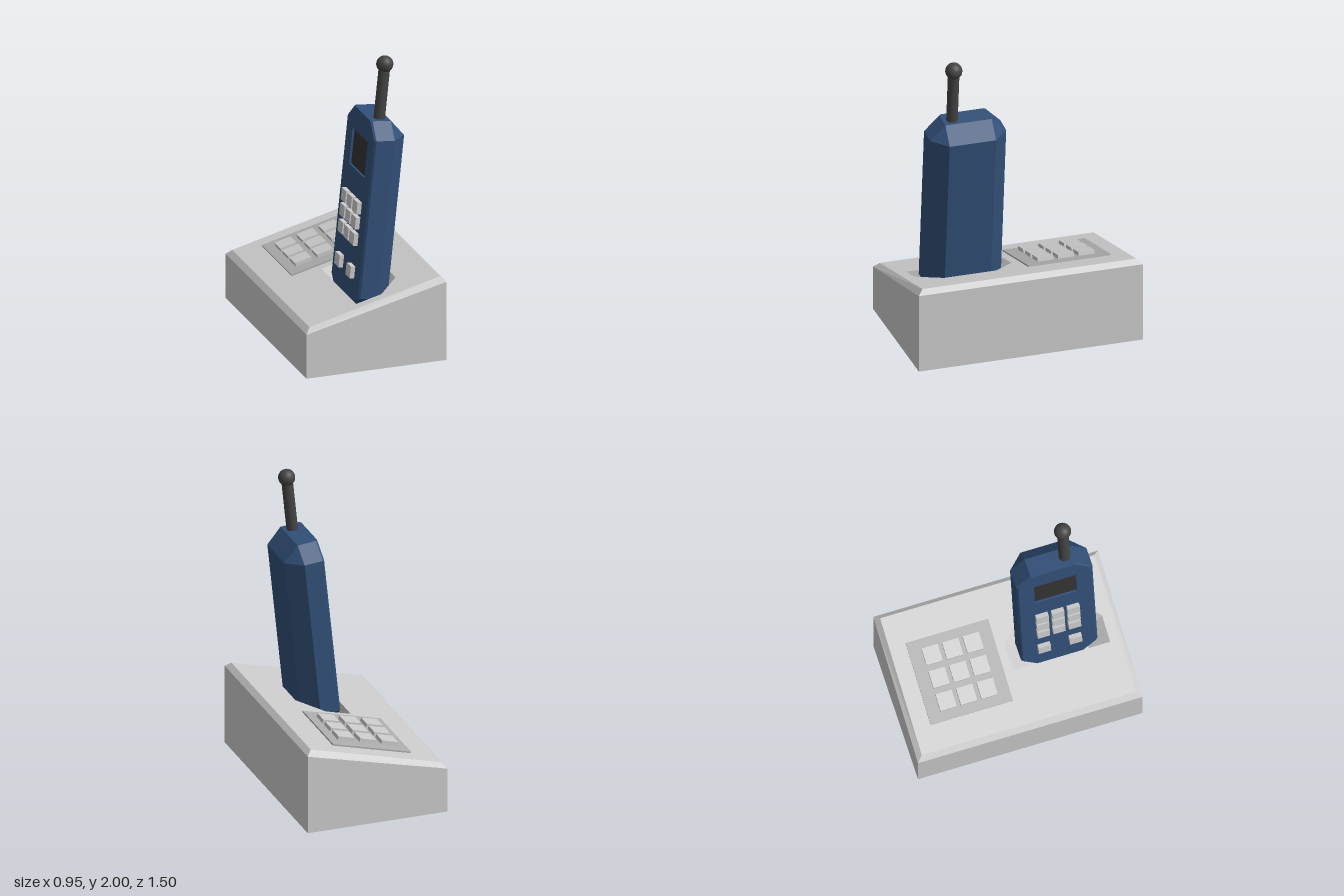
import * as THREE from 'three';

const mat = (color) => new THREE.MeshStandardMaterial({ color, flatShading: true });
const GREY = mat(0xcccccc), PANEL = mat(0xadadad), BLUE = mat(0x325078), SCREEN = mat(0x333333);
const DARK = new THREE.MeshStandardMaterial({ color: 0x444444 });

function add(parent, name, geometry, material, x = 0, y = 0, z = 0) {
  const mesh = new THREE.Mesh(geometry, material);
  mesh.name = name;
  mesh.position.set(x, y, z);
  parent.add(mesh);
  return mesh;
}

// Skin through rings of [x, y, z] points, with optional end caps
function loft(rings, { closed = true, capStart = false, capEnd = false } = {}) {
  const out = [];
  const n = rings[0].length;
  const tri = (a, b, c) => out.push(...a, ...b, ...c);
  for (let i = 0; i < rings.length - 1; i++) {
    for (let j = 0; j < (closed ? n : n - 1); j++) {
      const k = (j + 1) % n;
      tri(rings[i][j], rings[i][k], rings[i + 1][k]);
      tri(rings[i][j], rings[i + 1][k], rings[i + 1][j]);
    }
  }
  const last = rings[rings.length - 1];
  for (let j = 1; j < n - 1; j++) {
    if (capStart) tri(rings[0][0], rings[0][j + 1], rings[0][j]);
    if (capEnd) tri(last[0], last[j], last[j + 1]);
  }
  const g = new THREE.BufferGeometry();
  g.setAttribute('position', new THREE.Float32BufferAttribute(out, 3));
  g.computeVertexNormals();
  return g;
}

const shapeOf = (pts) => new THREE.Shape(pts.map(([x, y]) => new THREE.Vector2(x, y)));
const SLOPE = 0.26;
const topY = (x) => 0.335 + SLOPE * (x + 0.445);

function makeBase() {
  const base = new THREE.Group();
  base.name = 'chargerBase';
  const ring = (x, z, yOf) => [[-x, z], [x, z], [x, -z], [-x, -z]].map(([a, b]) => [a, yOf(a), b]);
  const sides = [
    ring(0.475, 0.75, () => 0),
    ring(0.475, 0.75, (x) => 0.4175 + 0.2475 * x),
    ring(0.442, 0.715, topY),
  ];
  add(base, 'baseSides', loft(sides, { capStart: true }), GREY);

  // Sloping top with a hole for the handset
  const slot = [[-0.1, 0.65], [0.07, 0.65], [0.22, 0.5], [0.22, 0.15], [0.07, 0], [-0.1, 0]];
  const floor = [[-0.105, 0.52], [0.06, 0.52], [0.13, 0.45], [0.13, 0.2], [0.06, 0.13], [-0.105, 0.13]];
  const top = shapeOf(sides[2].map(([x, , z]) => [x, -z]));
  top.holes.push(shapeOf(slot.map(([x, z]) => [x, -z])));
  const topGeo = new THREE.ShapeGeometry(top).rotateX(-Math.PI / 2);
  const p = topGeo.attributes.position;
  for (let i = 0; i < p.count; i++) p.setY(i, topY(p.getX(i)));
  topGeo.computeVertexNormals();
  add(base, 'baseTop', topGeo, GREY);

  // Tapered cradle
  const cradle = [slot.map(([x, z]) => [x, topY(x), z]), floor.map(([x, z]) => [x, topY(x) - 0.12, z])];
  add(base, 'cradle', loft(cradle, { capEnd: true }), GREY);

  // Keypad lying on the slope
  const keypad = new THREE.Group();
  keypad.name = 'baseKeypad';
  keypad.position.set(-0.015, topY(-0.015), -0.33);
  keypad.rotation.z = Math.atan(SLOPE);
  add(keypad, 'keypadPanel', new THREE.BoxGeometry(0.547, 0.02, 0.55), PANEL);
  const key = new THREE.BoxGeometry(0.112, 0.03, 0.108);
  for (const i of [-1, 0, 1]) for (const j of [-1, 0, 1]) {
    add(keypad, 'baseKey', key, GREY, i * 0.153, 0.02, j * 0.137);
  }
  base.add(keypad);
  return base;
}

// Handset: local origin at the top of its face, which looks towards -x
function makeHandset() {
  const phone = new THREE.Group();
  phone.name = 'handset';
  const W = 0.255, C = 0.1, D = 0.237, B = 0.012, L = 1.27;

  // Chamfered shell, left open at the face
  const section = (y, w, d) => {
    const half = [[B, w], [D - C, w], [d, W - C]];
    return [[0, y, w - B], ...half.map(([x, z]) => [x, y, z]),
      ...half.reverse().map(([x, z]) => [x, y, -z]), [0, y, B - w]];
  };
  const shell = [section(-L, W - C, D - C), section(C - L, W, D), section(-C, W, D), section(0, W - C, D - C)];
  add(phone, 'handsetShell', loft(shell, { closed: false, capStart: true, capEnd: true }), BLUE);

  // Face with a sunken display
  const a = W - B, b = W - C - B;
  const face = shapeOf([[-b, -L], [b, -L], [a, C - L], [a, -C], [b, 0], [-b, 0], [-a, -C], [-a, C - L]]);
  const s = [[-0.14, -0.39], [0.14, -0.39], [0.14, -0.15], [-0.14, -0.15]];
  face.holes.push(shapeOf(s));
  add(phone, 'handsetFace', new THREE.ShapeGeometry(face).rotateY(-Math.PI / 2), BLUE);
  const depth = 0.015;
  add(phone, 'displayFrame', loft([0, depth].map((x) => s.map(([z, y]) => [x, y, z]))), BLUE);
  add(phone, 'display', new THREE.PlaneGeometry(0.28, 0.24).rotateY(-Math.PI / 2), SCREEN, depth, -0.27, 0);

  // Number keys and two keys below
  const key = new THREE.BoxGeometry(0.05, 0.08, 0.082);
  for (const y of [-0.595, -0.698, -0.808, -1.03]) for (const j of [-1, 0, 1]) {
    if (y < -1 && j === 0) continue;
    add(phone, 'handsetKey', key, GREY, -0.005, y, j * 0.104);
  }

  // Aerial
  add(phone, 'aerialRod', new THREE.CylinderGeometry(0.037, 0.037, 0.39, 24), DARK, 0.08, 0.165, 0.093);
  add(phone, 'aerialTip', new THREE.SphereGeometry(0.055, 24, 16), DARK, 0.08, 0.365, 0.093);

  phone.position.set(0.06, 1.59, 0.327);
  phone.rotation.z = -0.103;
  return phone;
}

export function createModel() {
  const model = new THREE.Group();
  model.name = 'cordlessPhone';
  model.add(makeBase(), makeHandset());
  return model;
}
